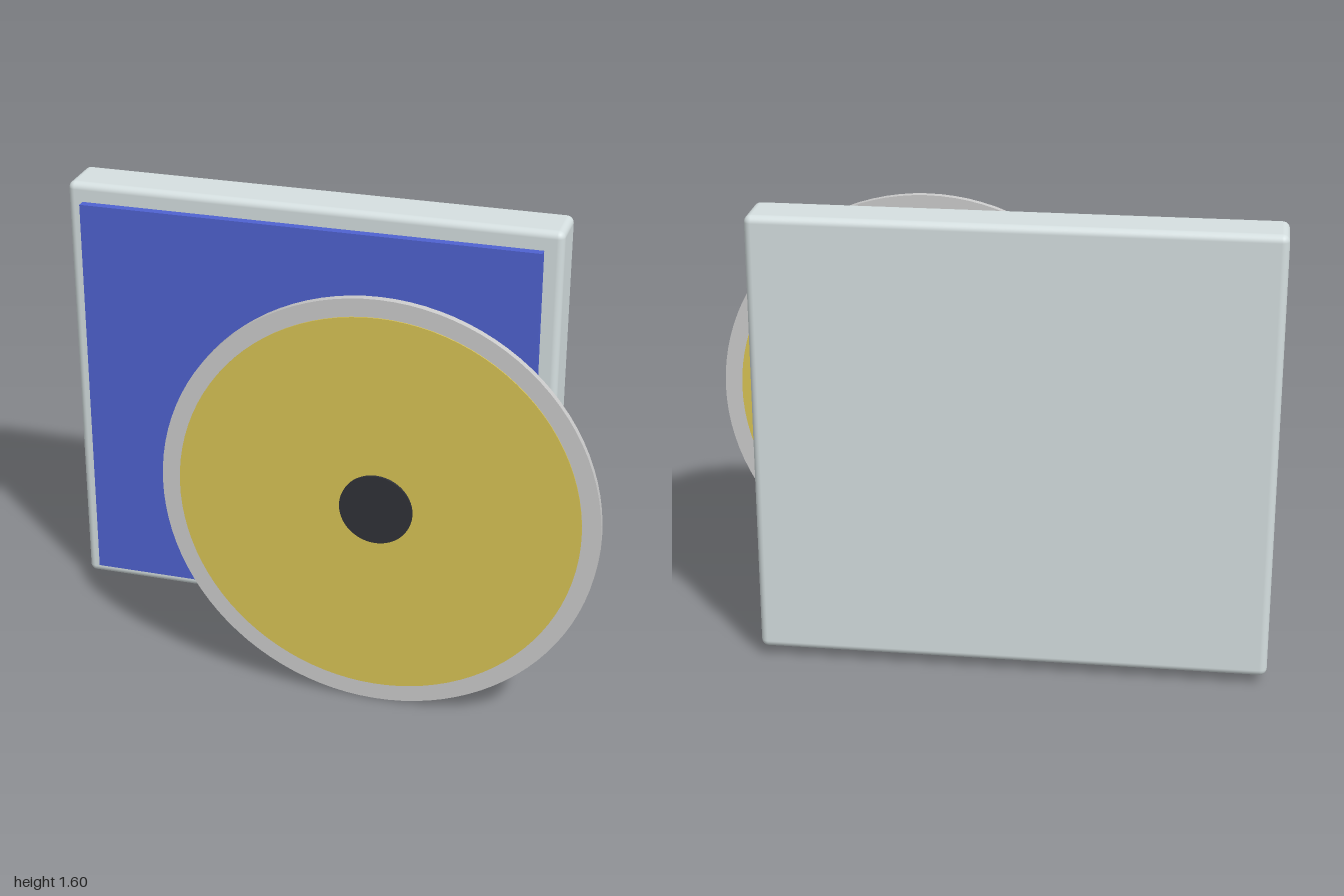
import * as THREE from 'three';
import { RoundedBoxGeometry } from 'three/addons/geometries/RoundedBoxGeometry.js';

const DISC = { x: 0.25, y: 0.75, z: 0.318 };

function part(name, geometry, color, x, y, z) {
  const mesh = new THREE.Mesh(geometry, new THREE.MeshStandardMaterial({ color }));
  mesh.name = name;
  mesh.position.set(x, y, z);
  return mesh;
}

// Flat round plate facing +z
function plate(name, radius, depth, color) {
  const geometry = new THREE.CylinderGeometry(radius, radius, depth, 96).rotateX(Math.PI / 2);
  return part(name, geometry, color, 0, 0, 0);
}

export function createModel() {
  const model = new THREE.Group();
  model.name = 'discAndCase';

  // Case with softened edges and the cover panel floating before it
  model.add(part('case', new RoundedBoxGeometry(1.75, 1.56, 0.187, 4, 0.025), 0xd5dfe0, -0.125, 0.815, -0.247));
  model.add(part('coverPanel', new THREE.BoxGeometry(1.625, 1.44, 0.03), 0x4f62d0, -0.125, 0.815, -0.12));

  // Disc: outer rim, coloured face and hub, each a little thicker than the last
  const disc = new THREE.Group();
  disc.name = 'disc';
  disc.position.set(DISC.x, DISC.y, DISC.z);
  disc.add(plate('discRim', 0.75, 0.025, 0xdadade));
  disc.add(plate('discFace', 0.6875, 0.033, 0xd9c455));
  disc.add(plate('discHub', 0.125, 0.048, 0x303238));
  model.add(disc);

  return model;
}
